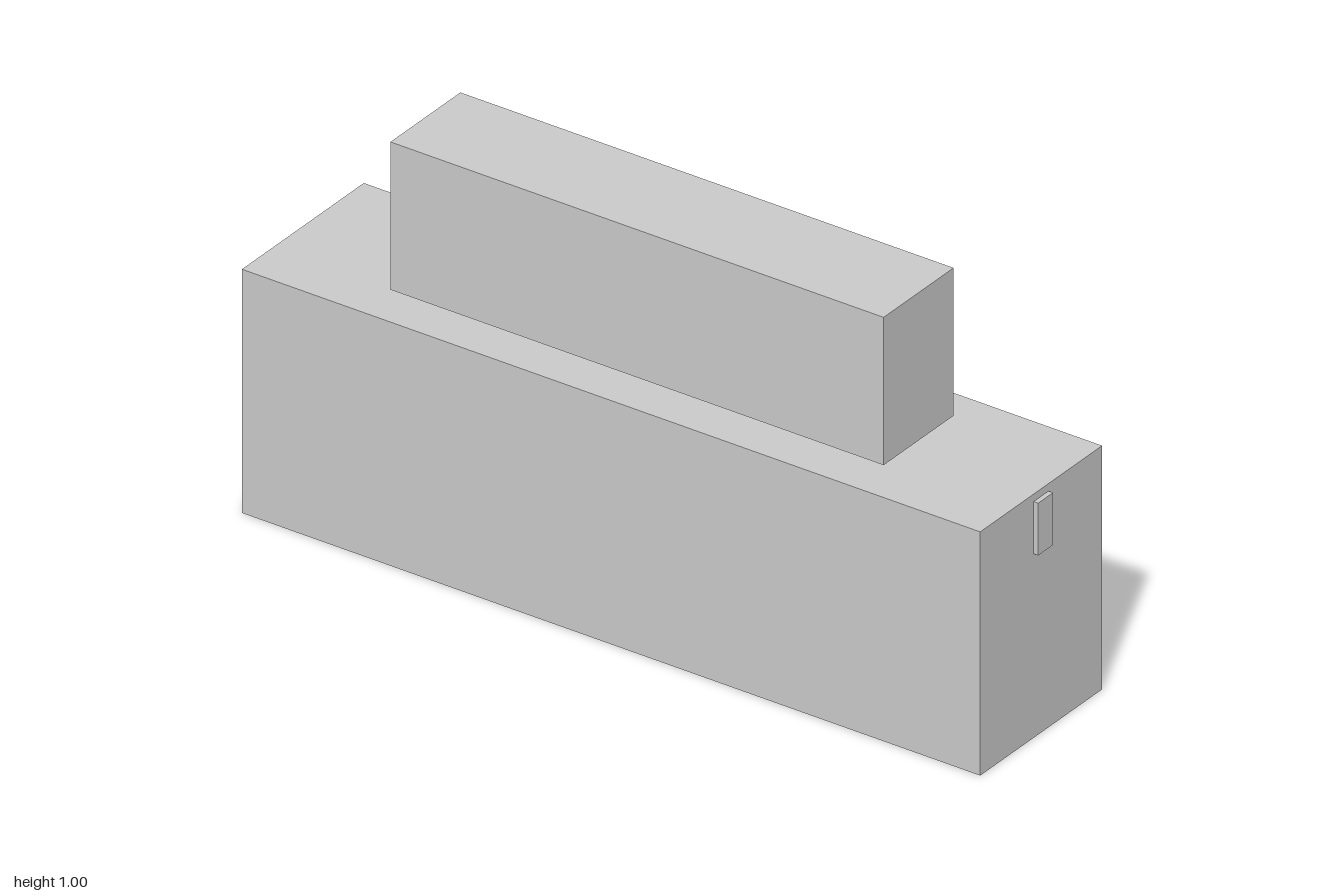
import * as THREE from 'three';

const material = new THREE.MeshStandardMaterial({ color: 0xcccccc, flatShading: true });

// Box given by its size, the height of its underside and its x centre
function addBox(group, name, width, height, depth, bottom, x = 0) {
  const mesh = new THREE.Mesh(new THREE.BoxGeometry(width, height, depth), material);
  mesh.name = name;
  mesh.position.set(x, bottom + height / 2, 0);
  group.add(mesh);
}

export function createModel() {
  const model = new THREE.Group();
  model.name = 'steppedBlock';

  // Large lower block
  addBox(model, 'lowerBlock', 1.976, 0.615, 0.46, 0);

  // Narrow upper block, separated from the lower one by a thin gap
  addBox(model, 'upperBlock', 1.32, 0.373, 0.264, 0.627);

  // Small raised tab on each end
  for (const [name, side] of [['leftTab', 1], ['rightTab', -1]]) {
    addBox(model, name, 0.012, 0.132, 0.056, 0.464, side * 0.994);
  }

  return model;
}
